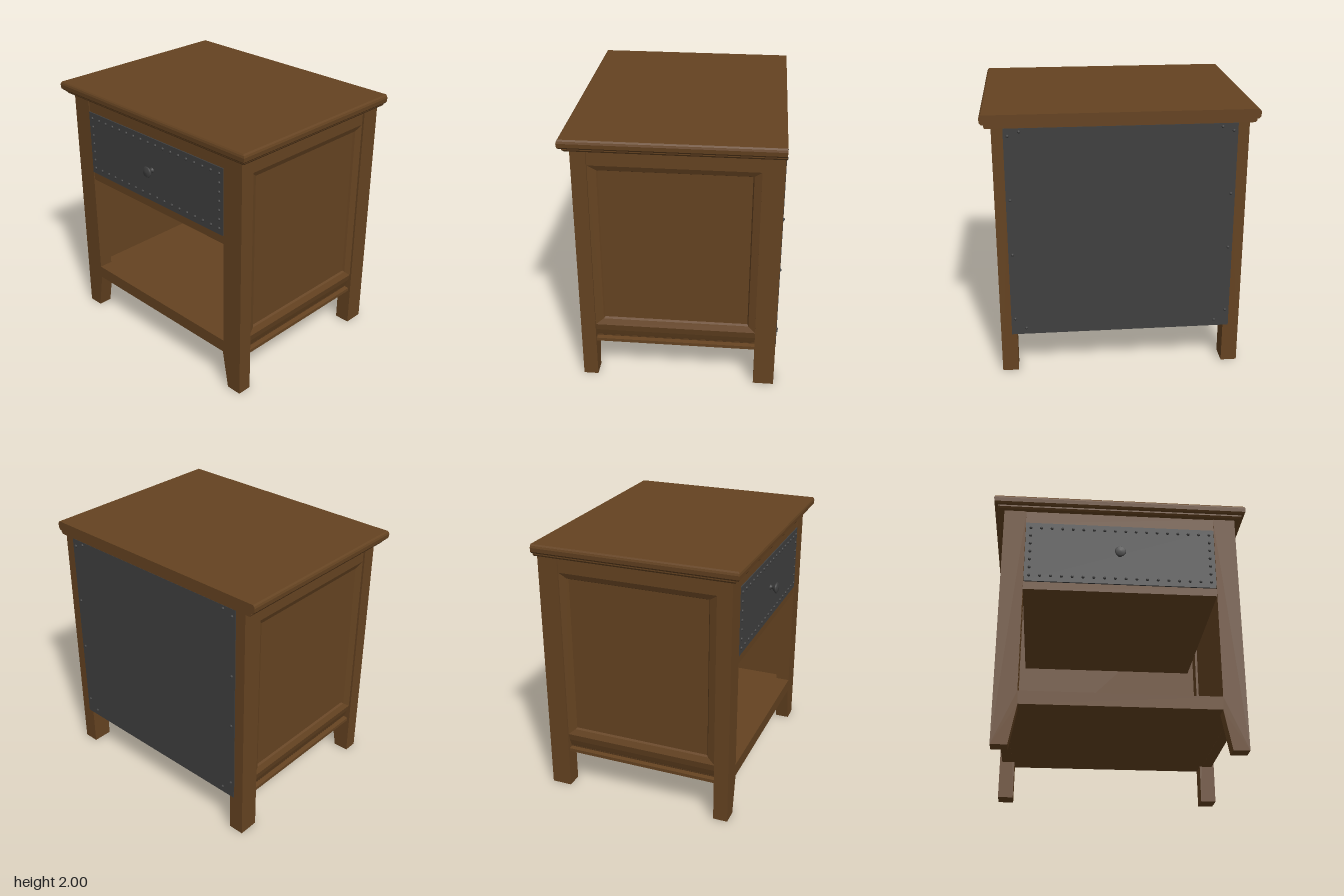
import * as THREE from 'three';

const wood = new THREE.MeshStandardMaterial({ color: 0x654321 });
wood.name = 'brown wood';
const metal = new THREE.MeshStandardMaterial({ color: 0x404040 });
metal.name = 'dark grey metal';

export function createModel() {
  const root = new THREE.Group();
  root.name = 'nightstand';

  const add = (name, geo, mat = wood) => {
    const m = new THREE.Mesh(geo, mat);
    m.name = name;
    root.add(m);
    return m;
  };
  // Box given by its limits
  const boxGeo = (x0, x1, y0, y1, z0, z1) =>
    new THREE.BoxGeometry(x1 - x0, y1 - y0, z1 - z0)
      .translate((x0 + x1) / 2, (y0 + y1) / 2, (z0 + z1) / 2);
  // Mirror a geometry across x = 0, keeping faces outward
  const mirrorX = (geo) => {
    const g = geo.index ? geo.toNonIndexed() : geo.clone();
    const p = g.attributes.position;
    const out = [];
    for (let i = 0; i < p.count; i += 3)
      for (const k of [i, i + 2, i + 1]) out.push(-p.getX(k), p.getY(k), p.getZ(k));
    const r = new THREE.BufferGeometry();
    r.setAttribute('position', new THREE.Float32BufferAttribute(out, 3));
    r.computeVertexNormals();
    return r;
  };
  const addPair = (name, geo) => {
    add('left' + name, geo);
    add('right' + name, mirrorX(geo));
  };
  // Flat-faced skin over a stack of four-cornered loops
  const loft = (loops, caps) => {
    const pos = [];
    const quad = (a, b, c, d) => [a, b, c, a, c, d].forEach((v) => pos.push(...v));
    for (let l = 0; l + 1 < loops.length; l++)
      for (let i = 0; i < 4; i++) {
        const j = (i + 1) % 4;
        quad(loops[l][i], loops[l][j], loops[l + 1][j], loops[l + 1][i]);
      }
    if (caps) {
      quad(...[...loops[0]].reverse());
      quad(...loops[loops.length - 1]);
    }
    const g = new THREE.BufferGeometry();
    g.setAttribute('position', new THREE.Float32BufferAttribute(pos, 3));
    g.computeVertexNormals();
    return g;
  };
  const shapeOf = (pts) => new THREE.Shape(pts.map(([x, y]) => new THREE.Vector2(x, y)));

  // Moulded top, flush at the back: [y, half width, front z]
  const topLevels = [
    [1.905, 0.94, 0.73], [1.918, 0.95, 0.74], [1.93, 0.95, 0.74], [1.932, 0.965, 0.758],
    [1.945, 0.977, 0.768], [1.975, 0.98, 0.77], [1.99, 0.975, 0.766], [2.0, 0.965, 0.758],
  ];
  add('top', loft(topLevels.map(([y, x, z]) =>
    [[-x, y, -0.77], [-x, y, z], [x, y, z], [x, y, -0.77]]), true));

  // Front frame: tapered legs joined by the bottom rail
  const front = shapeOf([
    [-0.9, 0], [-0.78, 0], [-0.725, 0.3], [0.725, 0.3], [0.78, 0], [0.9, 0],
    [0.9, 1.906], [0.73, 1.906], [0.73, 0.4], [-0.73, 0.4], [-0.73, 1.906], [-0.9, 1.906],
  ]);
  add('frontLegsAndRail', new THREE.ExtrudeGeometry(front, { depth: 0.11, bevelEnabled: false })
    .translate(0, 0, 0.59));
  add('topRail', boxGeo(-0.73, 0.73, 1.8, 1.906, 0.6, 0.694));

  // Straight back legs
  addPair('BackLeg', boxGeo(0.78, 0.9, 0, 1.906, -0.765, -0.61));

  // Recessed side panels with mitred moulding and rails
  addPair('SidePanel', boxGeo(0.8, 0.85, 0.34, 1.9, -0.61, 0.59));
  const ring = (x, y0, y1, z0, z1) => [[x, y0, z1], [x, y1, z1], [x, y1, z0], [x, y0, z0]];
  addPair('PanelMoulding', loft([
    ring(0.851, 0.51, 1.73, -0.55, 0.52),
    ring(0.866, 0.5, 1.738, -0.558, 0.53),
    ring(0.885, 0.455, 1.78, -0.61, 0.59),
  ], false));
  addPair('SideTopRail', boxGeo(0.8, 0.885, 1.78, 1.906, -0.61, 0.59));
  const rail = shapeOf([
    [0.8, 0.3], [0.88, 0.3], [0.88, 0.325], [0.845, 0.33], [0.857, 0.36],
    [0.872, 0.4], [0.885, 0.455], [0.8, 0.455],
  ]);
  addPair('SideBottomRail', new THREE.ExtrudeGeometry(rail, { depth: 1.2, bevelEnabled: false })
    .translate(0, 0, -0.61));

  // Inside boards
  add('bottomShelf', boxGeo(-0.8, 0.8, 0.302, 0.4, -0.755, 0.6));
  add('divider', boxGeo(-0.73, 0.73, 1.22, 1.285, -0.74, 0.694));
  add('backBoard', boxGeo(-0.79, 0.79, 0.305, 1.905, -0.76, -0.74));

  // Metal back sheet and drawer front
  add('backSheet', boxGeo(-0.82, 0.82, 0.31, 1.904, -0.77, -0.76), metal);
  add('drawerFront', boxGeo(-0.728, 0.728, 1.287, 1.8, 0.6, 0.702), metal);

  // Rivets
  const dome = new THREE.SphereGeometry(0.012, 10, 4, 0, Math.PI * 2, 0, Math.PI / 2)
    .rotateX(Math.PI / 2);
  const rivet = (name, x, y, z, back) => {
    const m = add(name, dome, metal);
    m.position.set(x, y, z);
    if (back) m.rotation.y = Math.PI;
  };
  for (let i = 0; i < 18; i++)
    for (const y of [1.335, 1.755]) rivet('drawerRivet', -0.69 + (i * 1.38) / 17, y, 0.701);
  for (let i = 1; i < 6; i++)
    for (const x of [-0.69, 0.69]) rivet('drawerRivet', x, 1.335 + i * 0.07, 0.701);
  for (const s of [-1, 1])
    for (const [x, y] of [[0.79, 1.85], [0.71, 1.88], [0.79, 1.38], [0.79, 0.96], [0.79, 0.44], [0.71, 0.36]])
      rivet('backRivet', s * x, y, -0.769, true);

  // Turned knob
  const knob = [[0.022, 0], [0.015, 0.012], [0.014, 0.02], [0.04, 0.044], [0.043, 0.052], [0.036, 0.06], [0, 0.064]]
    .map(([r, y]) => new THREE.Vector2(r, y));
  add('drawerKnob', new THREE.LatheGeometry(knob, 20).rotateX(Math.PI / 2), metal)
    .position.set(-0.005, 1.545, 0.7);

  return root;
}
